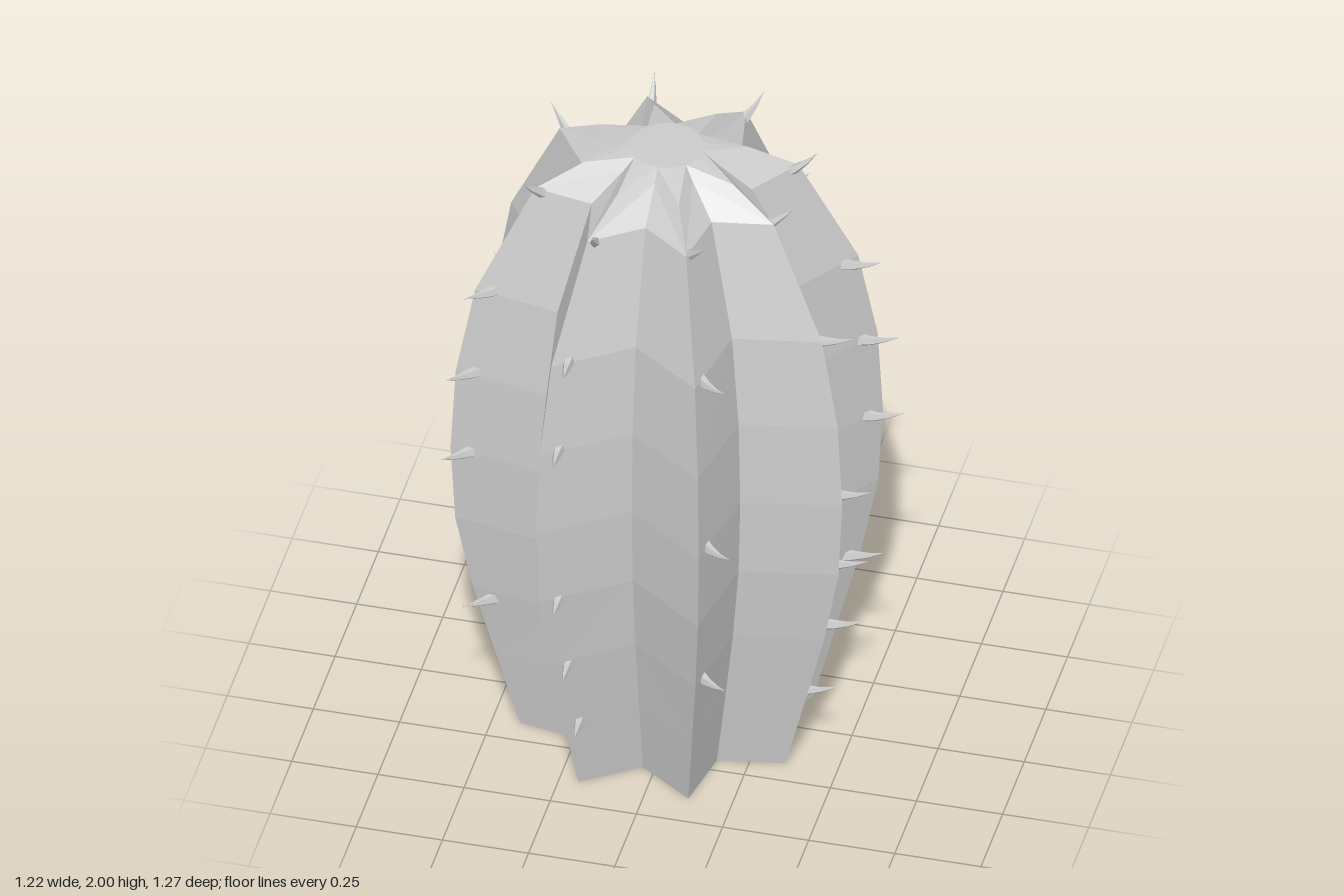
import * as THREE from 'three';

const RIBS = 8;
const CENTRE = new THREE.Vector3(-0.035, 0, 0.01);
// [height, ridge radius, valley radius]
const BODY = [
  [0, 0.417, 0.275], [0.25, 0.485, 0.32], [0.5, 0.552, 0.363], [0.75, 0.602, 0.394],
  [1.0, 0.615, 0.403], [1.27, 0.6, 0.394], [1.55, 0.545, 0.358], [1.89, 0.375, 0.246],
];
const CAP = [[1.89, 0.375, 0.246], [1.968, 0.235, 0.14], [2.0, 0.105, 0.105]];

// Lofts star-shaped rings; optional centre points close the ends
function starLoft(rings, closeBottom, closeTop) {
  const n = RIBS * 2, pos = [], index = [];
  for (const [y, ridge, valley] of rings) {
    for (let i = 0; i < n; i++) {
      const a = (i / n) * Math.PI * 2, r = i % 2 ? ridge : valley;
      pos.push(r * Math.cos(a), y, r * Math.sin(a));
    }
  }
  for (let j = 0; j < rings.length - 1; j++) {
    for (let i = 0; i < n; i++) {
      const a = j * n + i, b = j * n + (i + 1) % n;
      // split every quad symmetrically about its ridge
      if (i % 2) index.push(a, a + n, b + n, a, b + n, b);
      else index.push(a, a + n, b, b, a + n, b + n);
    }
  }
  const close = (j, up) => {
    const c = pos.length / 3;
    pos.push(0, rings[j][0], 0);
    for (let i = 0; i < n; i++) {
      const a = j * n + i, b = j * n + (i + 1) % n;
      if (up) index.push(c, b, a);
      else index.push(c, a, b);
    }
  };
  if (closeBottom) close(0, false);
  if (closeTop) close(rings.length - 1, true);
  const g = new THREE.BufferGeometry();
  g.setAttribute('position', new THREE.Float32BufferAttribute(pos, 3));
  g.setIndex(index);
  const flat = g.toNonIndexed();
  flat.computeVertexNormals();
  return flat;
}

// Hooked thorn pointing along +z, its tip bent upwards
function thornGeometry() {
  const length = 0.125;
  const g = new THREE.ConeGeometry(0.023, length, 5, 3);
  g.translate(0, length / 2, 0);
  g.rotateX(Math.PI / 2);
  const p = g.attributes.position;
  for (let i = 0; i < p.count; i++) {
    const t = p.getZ(i) / length;
    p.setX(i, p.getX(i) * 0.8 + 0.012 * t * t);
    p.setY(i, p.getY(i) + 0.024 * t * t - 0.008 * t);
  }
  g.computeVertexNormals();
  return g;
}

function radiiAt(y) {
  let j = 0;
  while (j < BODY.length - 2 && y > BODY[j + 1][0]) j++;
  const t = (y - BODY[j][0]) / (BODY[j + 1][0] - BODY[j][0]);
  return [1, 2].map(k => THREE.MathUtils.lerp(BODY[j][k], BODY[j + 1][k], t));
}

// For each rib: which side its thorns grow on, and their heights
const THORNS = [
  [-1, [0.26, 0.75, 1.0, 1.52]],
  [-1, [0.49, 1.0, 1.54]],
  [-1, [0.24, 0.48, 0.74, 1.27, 1.55]],
  [-1, [0.47, 1.0, 1.28, 1.56]],
  [1, [0.2, 0.73, 1.27]],
  [1, [0.25, 1.0, 1.54]],
  [1, [0.25, 0.75, 1.28, 1.54]],
  [1, [0.27, 0.51, 1.0, 1.27, 1.54]],
];

export function createModel() {
  const model = new THREE.Group();
  const material = new THREE.MeshStandardMaterial({ color: 0xcccccc, flatShading: true });

  const body = new THREE.Mesh(starLoft(BODY, true, false), material);
  body.name = 'ribbedBody';
  const cap = new THREE.Mesh(starLoft(CAP, false, true), material);
  cap.name = 'crown';
  for (const m of [body, cap]) {
    m.position.copy(CENTRE);
    model.add(m);
  }

  // Thorns beside each ridge, facing the neighbouring valley's direction
  const thorns = new THREE.Group();
  thorns.name = 'thorns';
  const geometry = thornGeometry();
  const addThorn = (x, y, z, angle, pitch) => {
    const thorn = new THREE.Mesh(geometry, material);
    thorn.name = 'thorn';
    thorn.position.set(x, y, z).add(CENTRE);
    thorn.rotation.set(-pitch, Math.PI / 2 - angle, 0, 'YXZ');
    thorns.add(thorn);
  };
  THORNS.forEach(([side, heights], k) => {
    const ridgeAngle = ((k + 0.5) / RIBS) * Math.PI * 2;
    const angle = ridgeAngle + side * Math.PI / RIBS;
    for (const y of heights) {
      const [ridge, valley] = radiiAt(y);
      const x = 0.8 * ridge * Math.cos(ridgeAngle) + (0.2 * valley - 0.02) * Math.cos(angle);
      const z = 0.8 * ridge * Math.sin(ridgeAngle) + (0.2 * valley - 0.02) * Math.sin(angle);
      addThorn(x, y, z, angle, 0.03);
    }
    // Raised thorn at the crown's rim
    addThorn(0.33 * Math.cos(ridgeAngle), 1.865, 0.33 * Math.sin(ridgeAngle), angle, 0.55);
  });
  model.add(thorns);
  return model;
}
